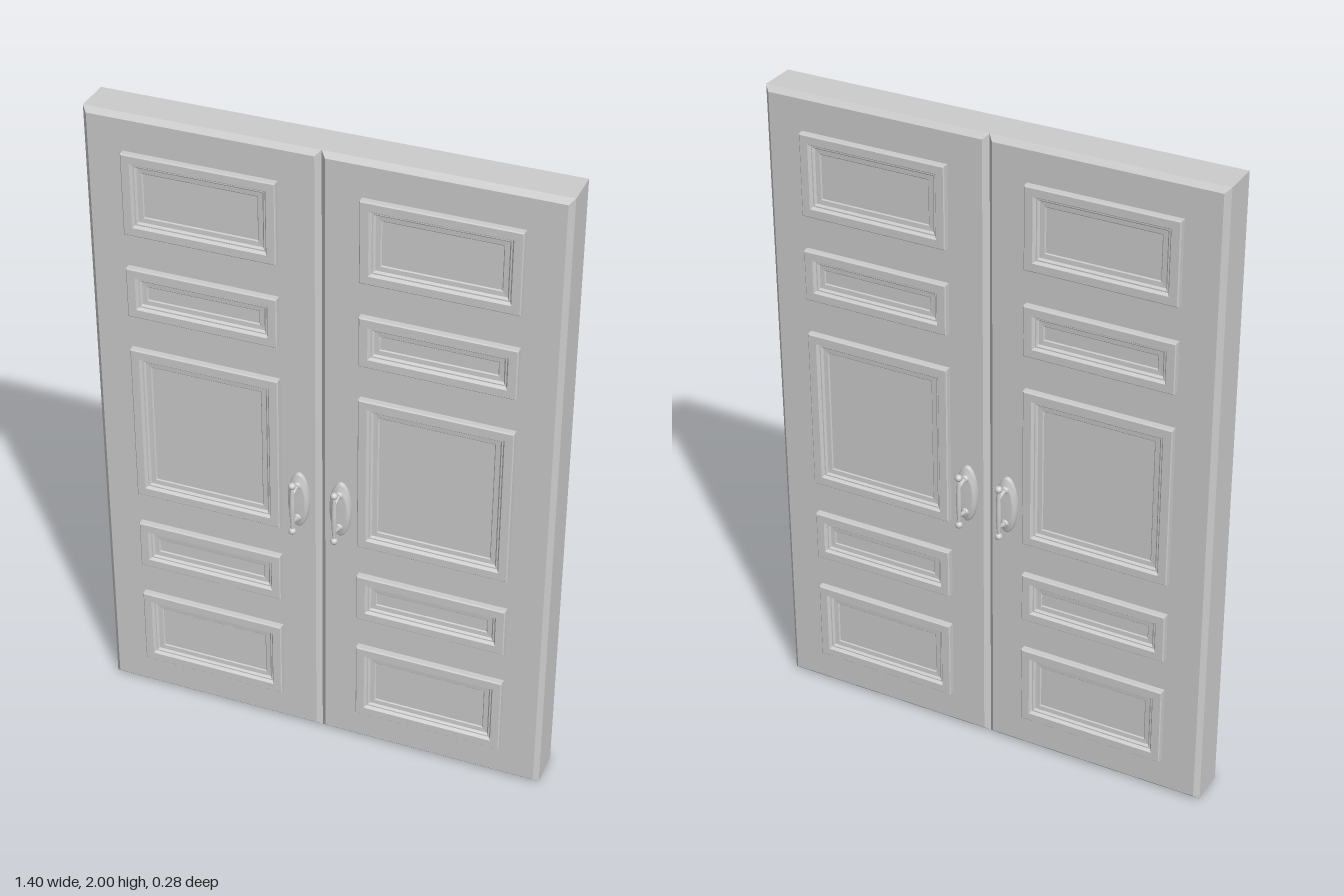
import * as THREE from 'three';

const material = new THREE.MeshStandardMaterial({ color: 0xcccccc });

function add(parent, name, geometry, x = 0, y = 0, z = 0) {
  const mesh = new THREE.Mesh(geometry, material);
  mesh.name = name;
  mesh.position.set(x, y, z);
  parent.add(mesh);
  return mesh;
}

// Door slab with chamfered edges on all sides of both faces
function slabGeometry(w, h, d, c) {
  const x = w / 2 - c, y = h / 2 - c;
  const shape = new THREE.Shape([
    new THREE.Vector2(-x, -y), new THREE.Vector2(x, -y),
    new THREE.Vector2(x, y), new THREE.Vector2(-x, y),
  ]);
  const g = new THREE.ExtrudeGeometry(shape, {
    depth: d - 2 * c, bevelEnabled: true, bevelSize: c, bevelThickness: c, bevelSegments: 1,
  });
  return g.translate(0, 0, -d / 2 + c);
}

// Moulded panel: nested rectangles given as [inset, height], closed by a flat field
const moulding = [
  [0, 0], [0, 0.018], [0.003, 0.021], [0.027, 0.021],
  [0.033, 0.012], [0.037, 0.012], [0.042, 0.006], [0.056, 0.005], [0.059, 0.002],
];
function panelGeometry(w, h) {
  const points = [];
  const ring = ([inset, z]) => {
    const x = w / 2 - inset, y = h / 2 - inset;
    return [[-x, -y, z], [x, -y, z], [x, y, z], [-x, y, z]];
  };
  const quad = (a, b, c, d) => points.push(...a, ...b, ...c, ...a, ...c, ...d);
  for (let i = 0; i < moulding.length - 1; i++) {
    const outer = ring(moulding[i]), inner = ring(moulding[i + 1]);
    for (let k = 0; k < 4; k++) {
      const n = (k + 1) % 4;
      quad(outer[k], outer[n], inner[n], inner[k]);
    }
  }
  quad(...ring(moulding[moulding.length - 1]));
  const g = new THREE.BufferGeometry();
  g.setAttribute('position', new THREE.Float32BufferAttribute(points, 3));
  g.computeVertexNormals();
  return g;
}

// Pull handle: oval backplate, two posts and a bulging grip with ball ends
function makeHandle() {
  const handle = new THREE.Group();
  handle.name = 'handle';

  const plate = new THREE.LatheGeometry([
    [0.033, 0], [0.033, 0.01], [0.031, 0.013], [0.027, 0.014], [0.025, 0.018], [0.021, 0.019], [0, 0.019],
  ].map(([r, y]) => new THREE.Vector2(r, y)), 40);
  plate.rotateX(Math.PI / 2).scale(1, 0.092 / 0.033, 1);
  add(handle, 'backplate', plate);

  const grip = new THREE.LatheGeometry([
    [0.004, -0.078], [0.005, -0.06], [0.007, -0.03], [0.008, 0],
    [0.007, 0.03], [0.005, 0.06], [0.004, 0.078],
  ].map(([r, y]) => new THREE.Vector2(r, y)), 20);
  add(handle, 'grip', grip, 0, 0, 0.057);

  for (const s of [-1, 1]) {
    add(handle, 'gripBall', new THREE.SphereGeometry(0.011, 20, 14), 0, s * 0.08, 0.057);
    const path = new THREE.CatmullRomCurve3([
      new THREE.Vector3(0, s * 0.056, 0.012),
      new THREE.Vector3(0, s * 0.054, 0.035),
      new THREE.Vector3(0, s * 0.047, 0.057),
    ]);
    add(handle, 'post', new THREE.TubeGeometry(path, 10, 0.0065, 12));
    const collar = new THREE.CylinderGeometry(0.009, 0.012, 0.008, 20).rotateX(Math.PI / 2);
    add(handle, 'postCollar', collar, 0, s * 0.056, 0.022);
  }
  return handle;
}

export function createModel() {
  const model = new THREE.Group();
  model.name = 'doubleDoor';
  const face = 0.071;
  const rows = [[0.115, 0.37], [0.48, 0.638], [0.747, 1.258], [1.37, 1.528], [1.637, 1.89]];

  for (const side of [-1, 1]) {
    const leaf = new THREE.Group();
    leaf.name = side > 0 ? 'leftDoor' : 'rightDoor';
    model.add(leaf);
    add(leaf, 'slab', slabGeometry(0.7, 2, face * 2, 0.015), side * 0.35, 1, 0);

    // Panels and a handle on each face
    for (const front of [1, -1]) {
      const fittings = new THREE.Group();
      fittings.name = front > 0 ? 'frontFace' : 'backFace';
      fittings.rotation.y = front > 0 ? 0 : Math.PI;
      leaf.add(fittings);
      const x = side * front;
      for (const [low, high] of rows) {
        add(fittings, 'panel', panelGeometry(0.458, high - low), x * 0.35, (low + high) / 2, face);
      }
      const handle = makeHandle();
      handle.position.set(x * 0.065, 0.857, face);
      fittings.add(handle);
    }
  }
  return model;
}
